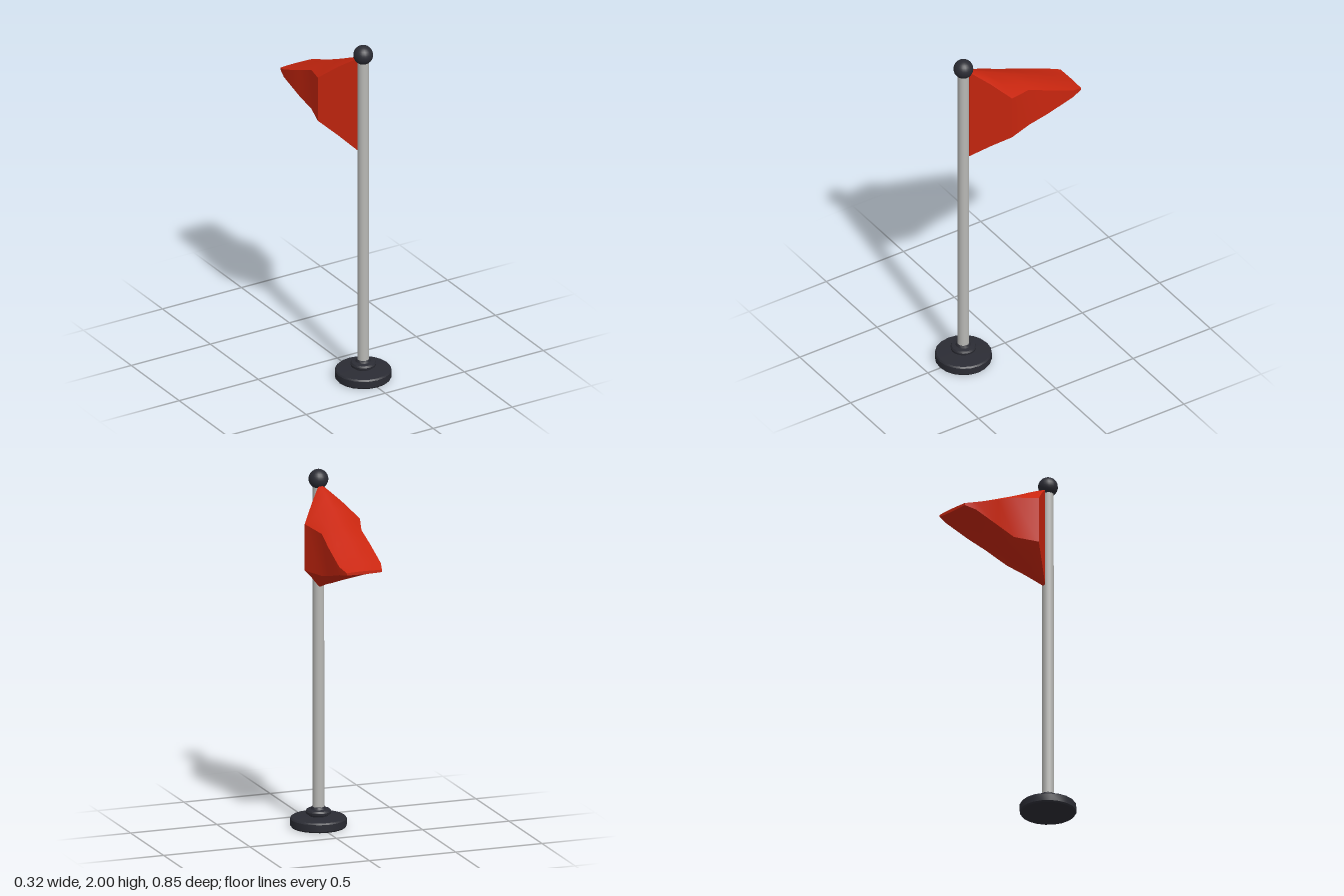
import * as THREE from 'three';
import { toCreasedNormals } from 'three/addons/utils/BufferGeometryUtils.js';

const POLE_Z = 0.27;

// Flag cross-sections from pole to tip:
// [z, half width, top centre, top edge, bottom edge, bottom centre]
const FLAG_SECTIONS = [
  [0.238, 0.012, 1.92, 1.915, 1.355, 1.35],
  [0.15, 0.085, 1.88, 1.845, 1.43, 1.385],
  [0.06, 0.16, 1.835, 1.76, 1.5, 1.415],
  [-0.08, 0.115, 1.768, 1.735, 1.5, 1.465],
  [-0.2, 0.12, 1.71, 1.685, 1.53, 1.51],
  [-0.36, 0.12, 1.632, 1.62, 1.575, 1.567],
  [-0.425, 0.102, 1.603, 1.6, 1.588, 1.585],
];

// Closed skin lofted through the flag sections
function flagGeometry() {
  const rings = FLAG_SECTIONS.map(([z, w, top, topEdge, lowEdge, low]) => {
    const half = [
      [0.6 * w, top + (topEdge - top) * 0.4],
      [w, topEdge],
      [w, lowEdge],
      [0.6 * w, low + (lowEdge - low) * 0.35],
    ];
    const mirrored = half.map(([x, y]) => [-x, y]).reverse();
    return [[0, top], ...half, [0, low], ...mirrored].map(([x, y]) => [x, y, z]);
  });
  const n = rings[0].length;
  const positions = [];
  const tri = (...corners) => corners.forEach((p) => positions.push(...p));
  for (let s = 0; s < rings.length - 1; s++) {
    for (let i = 0; i < n; i++) {
      const j = (i + 1) % n;
      const [a, b, c, d] = [rings[s][i], rings[s][j], rings[s + 1][j], rings[s + 1][i]];
      tri(a, b, c);
      tri(a, c, d);
    }
  }
  // End caps
  const first = rings[0];
  const last = rings[rings.length - 1];
  for (let i = 1; i < n - 1; i++) {
    tri(first[0], first[i + 1], first[i]);
    tri(last[0], last[i], last[i + 1]);
  }
  const geometry = new THREE.BufferGeometry();
  geometry.setAttribute('position', new THREE.Float32BufferAttribute(positions, 3));
  return toCreasedNormals(geometry, 0.6);
}

function lathe(profile, sides) {
  const points = profile.map(([r, y]) => new THREE.Vector2(r, y));
  return toCreasedNormals(new THREE.LatheGeometry(points, sides), 0.6);
}

export function createModel() {
  const red = new THREE.MeshStandardMaterial({ color: 0xc9260f });
  red.name = 'flag red';
  const grey = new THREE.MeshStandardMaterial({ color: 0xb8b8b5 });
  grey.name = 'pole grey';
  const dark = new THREE.MeshStandardMaterial({ color: 0x2b2c34 });
  dark.name = 'dark charcoal';

  const group = new THREE.Group();
  group.name = 'flagOnPole';
  const add = (name, geometry, material, y = 0, z = POLE_Z) => {
    const mesh = new THREE.Mesh(geometry, material);
    mesh.name = name;
    mesh.position.set(0, y, z);
    group.add(mesh);
  };

  // Round foot
  add('base', lathe([
    [0, 0], [0.148, 0], [0.154, 0.008], [0.154, 0.046], [0.147, 0.054], [0.05, 0.062], [0, 0.062],
  ], 20), dark);

  // Stepped collar around the pole foot
  add('collar', lathe([
    [0.05, 0.055], [0.054, 0.068], [0.068, 0.074], [0.07, 0.086], [0.064, 0.096],
    [0.042, 0.1], [0.036, 0.112], [0, 0.112],
  ], 20), dark);

  // Pole
  add('pole', new THREE.CylinderGeometry(0.031, 0.032, 1.83, 16), grey, 1.005);

  // Ball on top
  add('finial', new THREE.SphereGeometry(0.054, 20, 14), dark, 1.946);

  // Billowing pennant
  add('flag', flagGeometry(), red, 0, 0);

  return group;
}
